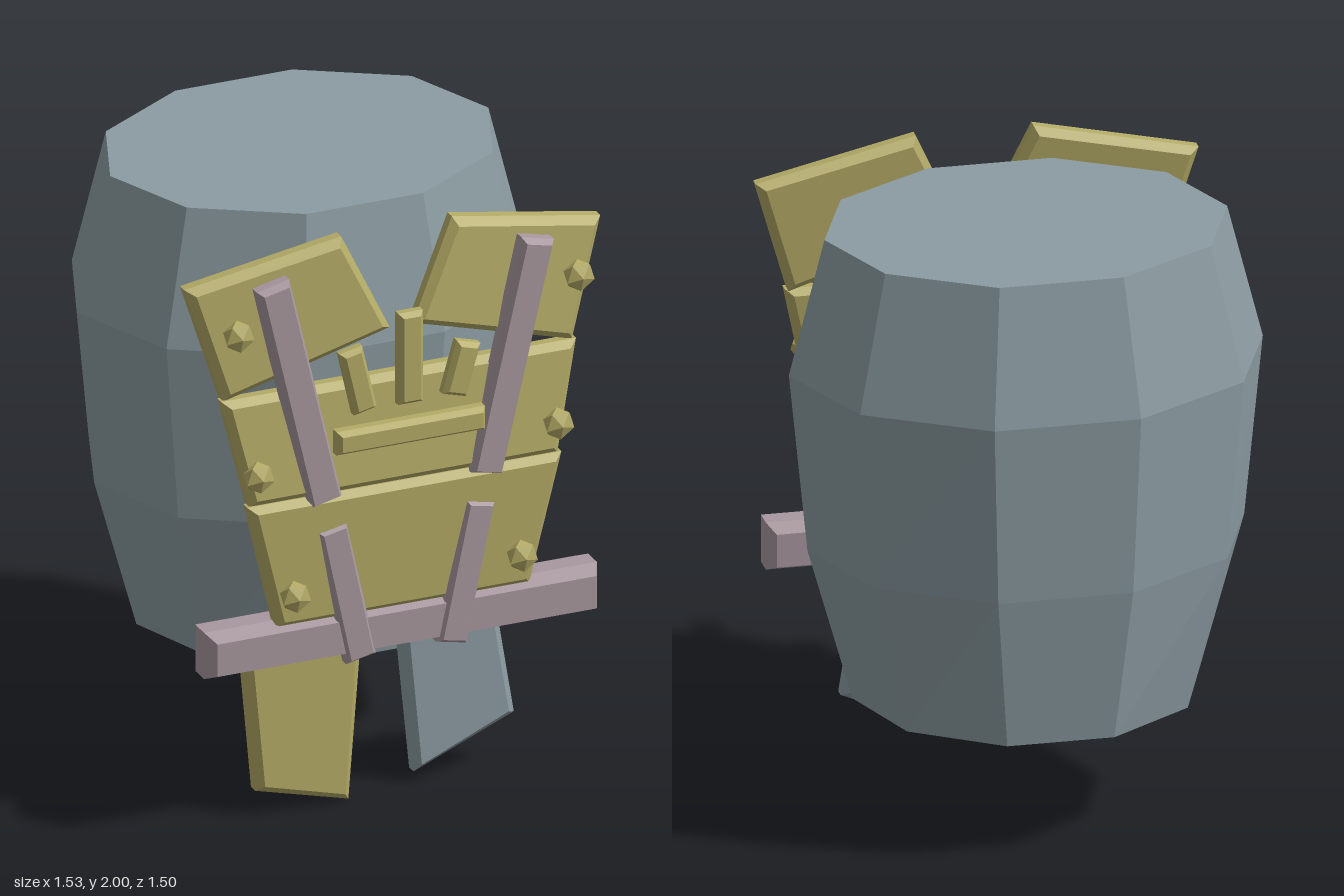
import * as THREE from 'three';

const paint = (color) => new THREE.MeshStandardMaterial({ color, flatShading: true });

export function createModel() {
  const model = new THREE.Group();
  const stone = paint(0x8c9ca2), bone = paint(0xb4ab66), strap = paint(0xa8989f);

  const add = (name, geometry, material) => {
    const mesh = new THREE.Mesh(geometry, material);
    mesh.name = name;
    model.add(mesh);
    return mesh;
  };

  // Chamfered slab with the given outline; its mid plane follows z = zAt(x, y)
  const slab = (name, material, outline, thick, zAt, bevel = 0.025) => {
    const shape = new THREE.Shape(outline.map(([x, y]) => new THREE.Vector2(x, y)));
    const rim = thick * 0.3;
    const geo = new THREE.ExtrudeGeometry(shape, {
      depth: thick - 2 * rim, bevelEnabled: true, bevelSegments: 1,
      bevelThickness: rim, bevelSize: bevel, bevelOffset: -bevel,
    });
    geo.translate(0, 0, rim - thick / 2);
    const p = geo.attributes.position;
    for (let i = 0; i < p.count; i++) p.setZ(i, p.getZ(i) + zAt(p.getX(i), p.getY(i)));
    geo.computeVertexNormals();
    return add(name, geo, material);
  };

  // Straight chamfered stick between two points
  const stick = (name, material, [x0, y0], [x1, y1], width, thick, z, bevel = 0.014) => {
    const len = Math.hypot(x1 - x0, y1 - y0);
    const nx = (-(y1 - y0) / len) * width / 2, ny = ((x1 - x0) / len) * width / 2;
    return slab(name, material,
      [[x0 + nx, y0 + ny], [x0 - nx, y0 - ny], [x1 - nx, y1 - ny], [x1 + nx, y1 + ny]],
      thick, () => z, bevel);
  };

  // Ten-sided barrel body: rings of [y, half width, half depth], top first
  const rings = [[1.98, 0.65, 0.54], [1.53, 0.765, 0.632], [0.93, 0.705, 0.6], [0.415, 0.56, 0.526]];
  const body = new THREE.CylinderGeometry(1, 1, 3, 10, 3, false, Math.PI / 2);
  const p = body.attributes.position;
  for (let i = 0; i < p.count; i++) {
    const [y, rx, rz] = rings[Math.round(1.5 - p.getY(i))];
    p.setXYZ(i, p.getX(i) * rx, y, p.getZ(i) * rz - 0.15);
  }
  body.computeVertexNormals();
  add('barrelBody', body, stone);

  // Chest plates
  slab('middlePlate', bone, [[-0.61, 1.515], [-0.53, 1.15], [0.53, 1.15], [0.61, 1.515]],
    0.075, (x, y) => 0.65 - 0.1 * (y - 1.15));
  slab('lowerPlate', bone, [[-0.54, 1.155], [-0.435, 0.715], [0.435, 0.715], [0.54, 1.155]],
    0.08, (x, y) => 0.645 + 0.03 * (y - 0.715));

  // Waist bar
  slab('waistBar', strap, [[-0.675, 0.575], [0.675, 0.575], [0.675, 0.735], [-0.675, 0.735]],
    0.17, () => 0.61, 0.024);

  // Mirrored shoulder plates, straps and studs
  for (const s of [1, -1]) {
    const side = s > 0 ? 'left' : 'right';
    slab(side + 'ShoulderPlate', bone,
      [[0.04, 1.68], [0.19, 2.005], [0.715, 1.9], [0.6, 1.51]].map(([x, y]) => [s * x, y]),
      0.085, (x, y) => 0.565 - 0.08 * (Math.abs(x) - 0.7) - 0.08 * (y - 1.88));
    stick(side + 'UpperStrap', strap, [s * 0.455, 1.91], [s * 0.275, 1.13], 0.115, 0.085, 0.665);
    stick(side + 'LowerStrap', strap, [s * 0.255, 1.045], [s * 0.155, 0.57], 0.105, 0.07, 0.673);

    for (const [x, y] of [[0.585, 1.77], [0.515, 1.27], [0.39, 0.835]]) {
      const geo = new THREE.IcosahedronGeometry(0.055, 0);
      geo.rotateX(Math.atan(2 / (1 + Math.sqrt(5))));
      geo.scale(1, 1, 0.65);
      add(side + 'Stud', geo, bone).position.set(s * x, y, 0.71);
    }
  }

  // Bone ornaments on the chest
  stick('centerPeg', bone, [0, 1.44], [0, 1.755], 0.085, 0.06, 0.71);
  stick('rightPeg', bone, [-0.155, 1.44], [-0.205, 1.66], 0.08, 0.06, 0.71);
  stick('leftPeg', bone, [0.15, 1.44], [0.2, 1.615], 0.085, 0.06, 0.71);
  stick('crossPeg', bone, [-0.255, 1.345], [0.255, 1.345], 0.08, 0.07, 0.71);

  // Hanging leg flaps
  slab('rightFlap', bone, [[-0.49, 0.64], [-0.44, 0.09], [-0.12, 0.005], [-0.07, 0.64]],
    0.085, () => 0.492);
  slab('leftFlap', stone, [[0.06, 0.645], [0.12, 0.04], [0.465, 0.185], [0.39, 0.645]],
    0.085, () => 0.455);

  return model;
}
